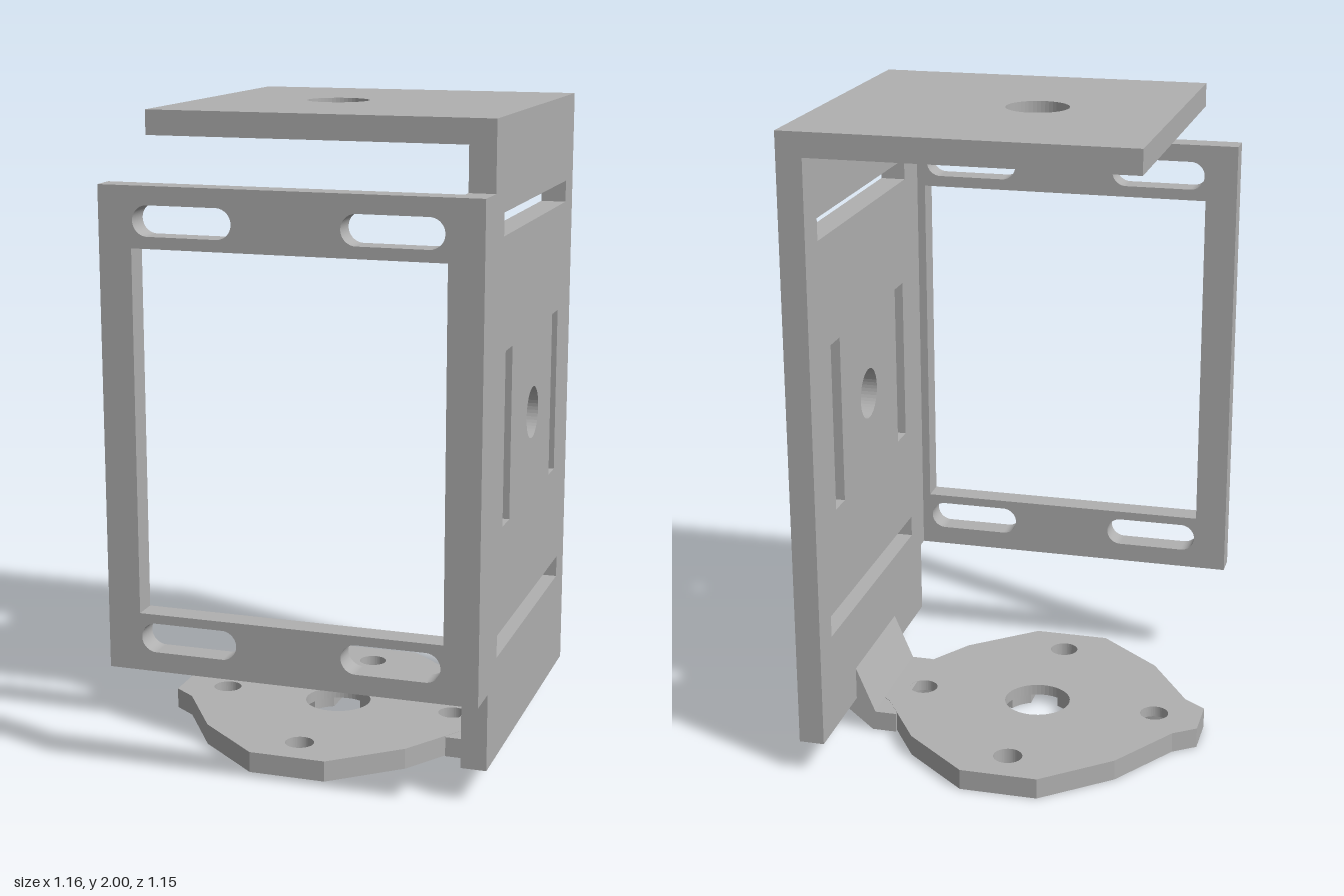
import * as THREE from 'three';

const CX = -0.045, CZ = -0.055; // centre of the round mounting base

const poly = pts => new THREE.Shape(pts.map(p => new THREE.Vector2(p[0], p[1])));
const rect = (x0, y0, x1, y1) => poly([[x0, y0], [x1, y0], [x1, y1], [x0, y1]]);

function circle(x, y, r) {
  return new THREE.Path().absarc(x, y, r, 0, Math.PI * 2, false);
}

// Horizontal slot with round ends
function pill(x0, x1, y, r) {
  const p = new THREE.Path();
  p.absarc(x1 - r, y, r, -Math.PI / 2, Math.PI / 2, false);
  p.absarc(x0 + r, y, r, Math.PI / 2, Math.PI * 1.5, false);
  p.closePath();
  return p;
}

// Round hole with four round-ended grooves leading out of it
function crossHole(R, w, lengths) {
  const p = new THREE.Path();
  const a = Math.asin(w / R), q = Math.PI / 2;
  lengths.forEach((len, i) => {
    const t = i * q, c = len - w;
    p.absarc(c * Math.cos(t), c * Math.sin(t), w, t - q, t + q, false);
    p.absarc(0, 0, R, t + a, t + q - a, false);
  });
  p.closePath();
  return p;
}

export function createModel() {
  const group = new THREE.Group();
  const grey = new THREE.MeshStandardMaterial({ color: 0xb0b0b0 });
  grey.name = 'plain grey';

  const extrude = (shape, holes, depth) => {
    shape.holes.push(...holes);
    return new THREE.ExtrudeGeometry(shape, { depth, bevelEnabled: false, curveSegments: 24 });
  };
  const add = (name, geometry, x = 0, y = 0, z = 0) => {
    const mesh = new THREE.Mesh(geometry, grey);
    mesh.name = name;
    mesh.position.set(x, y, z);
    group.add(mesh);
  };
  const flat = g => g.rotateX(-Math.PI / 2); // shape (x, -z), extruded up

  // Side plate, drawn as (-z, y) and extruded along x
  const side = poly([[-0.463, 0.105], [0.576, 0.105], [0.576, 2], [-0.463, 2],
    [-0.463, 1.795], [-0.576, 1.795], [-0.576, 0.342], [-0.463, 0.342]]);
  add('sidePlate', extrude(side, [
    rect(-0.36, 1.665, 0.473, 1.732), rect(-0.36, 0.42, 0.473, 0.488),
    rect(-0.315, 0.808, -0.23, 1.33), rect(0.312, 0.808, 0.393, 1.33),
    circle(0.055, 1.07, 0.08),
  ], 0.078).rotateY(Math.PI / 2), 0.502);

  // Top plate with a counterbored hole
  [['topPlateLower', 0.115 - 0.047, 1.927, 0.038], ['topPlateUpper', 0.095, 1.965, 0.035]]
    .forEach(([name, r, y, h]) => add(name,
      flat(extrude(rect(-0.458, -0.46, 0.502, 0.576), [circle(-0.043, 0.057, r)], h)), 0, y));

  // Front frame with a window and four slots
  const slots = [];
  for (const y of [0.447, 1.695])
    for (const x of [-0.455, 0.168]) slots.push(pill(x, x + 0.3, y, 0.045));
  add('frontFrame', extrude(rect(-0.56, 0.342, 0.502, 1.795),
    [rect(-0.46, 0.52, 0.476, 1.615), ...slots], 0.076), 0, 0, 0.5);

  // Mounting base: one quarter of the outline is mirrored around
  const quarter = [[0.535, 0.07], [0.465, 0.12], [0.325, 0.335], [0.12, 0.505]];
  const mirror = (sx, sy) => quarter.map(([x, y]) => [x * sx, y * sy]);
  const outline = () => poly([...mirror(1, 1), ...mirror(-1, 1).reverse(),
    ...mirror(-1, -1), ...mirror(1, -1).reverse()]);
  const screwHoles = [0, 1, 2, 3].map(i =>
    circle(0.385 * Math.cos(i * Math.PI / 2), 0.385 * Math.sin(i * Math.PI / 2), 0.045));
  add('baseUpper', flat(extrude(outline(), [circle(0, 0, 0.105), ...screwHoles], 0.035)),
    CX, 0.03, CZ);
  add('baseLower', flat(extrude(outline(),
    [crossHole(0.105, 0.045, [0.44, 0.29, 0.49, 0.29]), screwHoles[1], screwHoles[3]], 0.03)),
    CX, 0, CZ);

  // Sloping arm joining the base to the side plate
  const arm = poly([[0.43, 0.001], [0.45, 0.001], [0.58, 0.105], [0.502, 0.105],
    [0.502, 0.21], [0.44, 0.064], [0.372, 0.064], [0.372, 0.031], [0.43, 0.031]]);
  add('slopingArm', extrude(arm, [], 0.41), 0, 0, -0.26);

  // Lower fillets on either side of the groove under the arm
  for (const s of [-1, 1])
    add('armFoot', new THREE.BoxGeometry(0.06, 0.03, 0.15), 0.402, 0.016, CZ + s * 0.13);

  return group;
}
